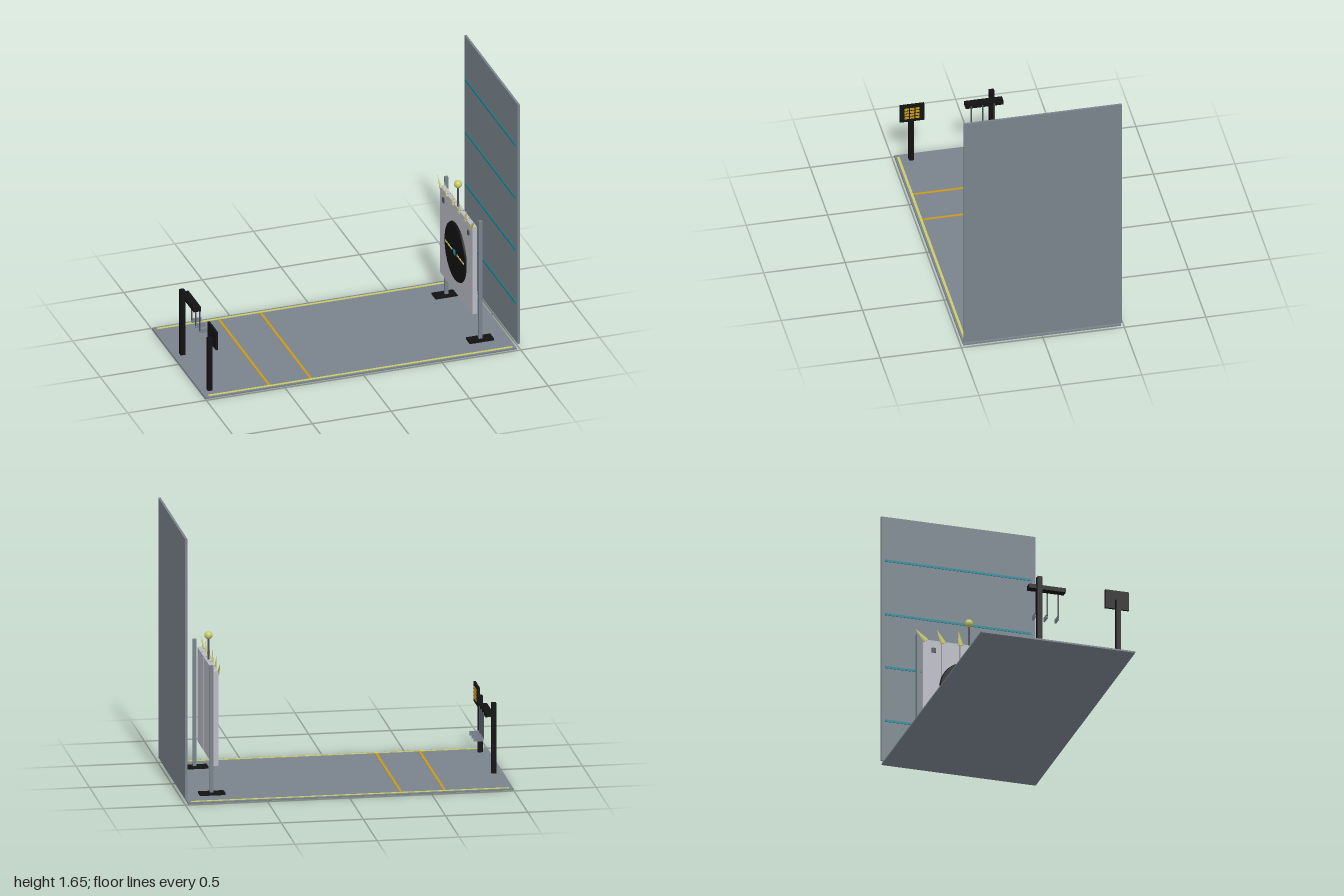
import * as THREE from 'three';

const mat = (name, color, side = THREE.FrontSide) => {
  const m = new THREE.MeshStandardMaterial({ color, side });
  m.name = name;
  return m;
};

export function createModel() {
  const root = new THREE.Group();
  root.name = 'throwingRange';
  const slate = mat('slate grey', 0x79838c);
  const plank = mat('pale plank', 0xb9bac3);
  const black = mat('black', 0x121212);
  const seam = mat('dark steel', 0x4a4e54);
  const pale = mat('pale yellow', 0xc9ca6c, THREE.DoubleSide);
  const orange = mat('orange', 0xc8981c);
  const teal = mat('teal', 0x128796);

  const add = (parent, name, geo, m, x = 0, y = 0, z = 0) => {
    const mesh = new THREE.Mesh(geo, m);
    mesh.name = name;
    mesh.position.set(x, y, z);
    parent.add(mesh);
    return mesh;
  };
  // Box given by its limits on each axis
  const box = (parent, name, m, x0, x1, y0, y1, z0, z1) =>
    add(parent, name, new THREE.BoxGeometry(x1 - x0, y1 - y0, z1 - z0), m,
      (x0 + x1) / 2, (y0 + y1) / 2, (z0 + z1) / 2);
  const group = (name) => {
    const g = new THREE.Group();
    g.name = name;
    root.add(g);
    return g;
  };

  // Lane floor with painted lines
  const lane = group('lane');
  box(lane, 'floor', slate, -1, 0.98, 0, 0.01, -0.485, 0.485);
  for (const s of [-1, 1])
    box(lane, 'edgeLine', pale, -0.975, 0.96, 0.01, 0.013, s * 0.465 - 0.008, s * 0.465 + 0.008);
  for (const x of [-0.585, -0.32])
    box(lane, 'throwLine', orange, x - 0.008, x + 0.008, 0.01, 0.0125, -0.457, 0.457);

  // Tall back wall with light strips
  const wall = group('backWall');
  box(wall, 'wallPanel', slate, 0.986, 1, 0.035, 1.65, -0.485, 0.485);
  for (const y of [0.3, 0.655, 1.005, 1.36])
    box(wall, 'wallStrip', teal, 0.982, 0.986, y - 0.007, y + 0.007, -0.46, 0.46);

  // Target stand: two posts on flat feet
  const target = group('target');
  for (const s of [-1, 1]) {
    const z = s * 0.31;
    box(target, 'foot', black, 0.73, 0.885, 0.01, 0.022, z - 0.036, z + 0.036);
    box(target, 'post', slate, 0.798, 0.82, 0.022, 0.81, z - 0.011, z + 0.011);
    box(target, 'boltPlate', seam, 0.758, 0.766, 0.685, 0.715, s * 0.225 - 0.013, s * 0.225 + 0.013);
  }

  // Board of five planks with dark seams
  const w = 0.118;
  for (let i = 0; i < 5; i++) {
    const z = (i - 2) * w;
    box(target, 'plank', plank, 0.765, 0.795, 0.18, 0.765, z - w / 2 + 0.002, z + w / 2 - 0.002);
    if (i < 4) box(target, 'seam', seam, 0.768, 0.793, 0.181, 0.764, z + w / 2 - 0.002, z + w / 2 + 0.002);
  }

  // Round target face with sighting marks
  const face = add(target, 'targetDisc', new THREE.CylinderGeometry(0.185, 0.19, 0.01, 40), black, 0.76, 0.46, 0);
  face.rotation.z = Math.PI / 2;
  for (const s of [-1, 1])
    for (const d of [0.06, 0.105, 0.15])
      box(target, 'aimDash', pale, 0.751, 0.755, 0.455, 0.465, s * d - 0.016, s * d + 0.016);
  box(target, 'bullseye', teal, 0.75, 0.755, 0.445, 0.475, -0.015, 0.015);

  // Fan of spikes along the top of the board
  const spike = new THREE.ConeGeometry(0.02, 0.095, 4);
  spike.scale(0.4, 1, 1).translate(0, 0.04, 0);
  for (let i = 0; i < 6; i++) {
    const z = (i - 2.5) * 0.112;
    add(target, 'spike', spike, pale, 0.762, 0.76, z).rotation.x = z * 2.6;
  }

  // Ball finial
  add(target, 'finialRod', new THREE.CylinderGeometry(0.006, 0.006, 0.14, 10), seam, 0.776, 0.83, 0);
  add(target, 'finialBall', new THREE.SphereGeometry(0.025, 20, 14), pale, 0.776, 0.915, 0);

  // Rack with three hanging axes
  const rack = group('axeRack');
  box(rack, 'rackPost', black, -0.957, -0.928, 0.01, 0.445, -0.117, -0.087);
  box(rack, 'rackBar', black, -0.93, -0.882, 0.373, 0.4, -0.162, 0.07);
  for (const z of [-0.105, -0.033, 0.038]) {
    box(rack, 'axeHandle', seam, -0.884, -0.876, 0.225, 0.39, z - 0.004, z + 0.004);
    box(rack, 'axeBlade', slate, -0.88, -0.82, 0.21, 0.237, z - 0.004, z + 0.004);
  }

  // Score sign with a grid of lit cells
  const sign = group('scoreSign');
  box(sign, 'signPost', black, -0.957, -0.928, 0.01, 0.36, 0.378, 0.408);
  box(sign, 'signBoard', black, -0.928, -0.914, 0.31, 0.43, 0.318, 0.468);
  for (let r = 0; r < 4; r++)
    for (let c = 0; c < 3; c++) {
      const y = 0.37 + (r - 1.5) * 0.021, z = 0.393 + (c - 1) * 0.033;
      box(sign, 'signCell', orange, -0.914, -0.911, y - 0.007, y + 0.007, z - 0.013, z + 0.013);
    }

  return root;
}
